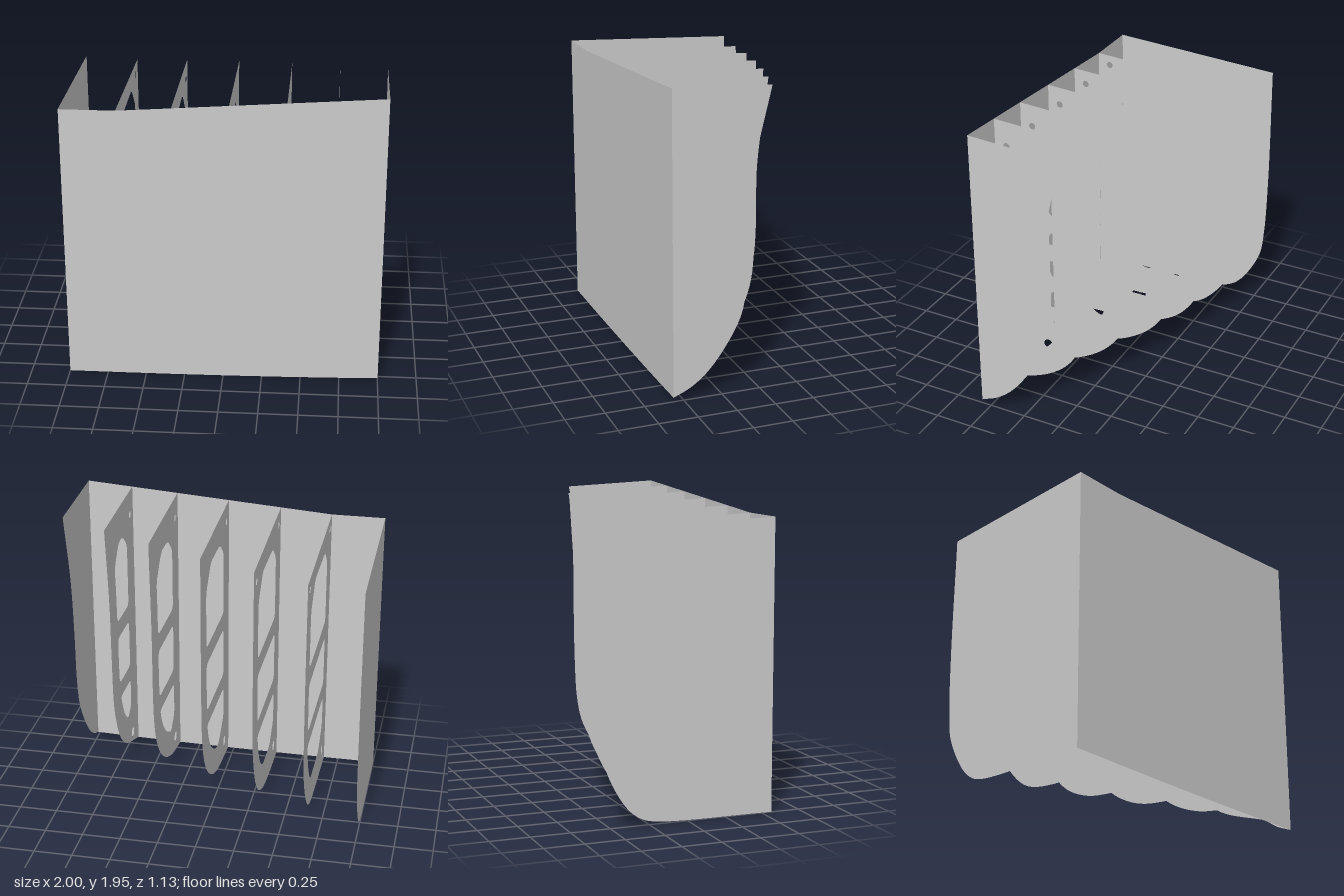
import * as THREE from 'three';

const FRONT = 0.565;   // z of the flat centre panel
const INNER = 0.385;   // inner edge of the large openings
const BORDER = 0.175;  // width of material left around the openings

// Cross sections: x position, z of the top outer corner, and [z, y] bends of the side
const STATIONS = [
  { x: 1, edge: -.06, bends: [[.05, 1.43], [.082, 1.05], [.093, .69], [.134, .48], [.31, .2], [.44, .085]] },
  { x: .7, edge: -.165, bends: [[-.098, 1.36], [-.086, 1], [-.07, .64], [-.03, .48], [.08, .275], [.237, .147]] },
  { x: .39, edge: -.265, bends: [[-.227, 1.2], [-.226, .84], [-.21, .61], [-.165, .44], [-.072, .29], [.072, .162], [.29, .06]] },
  { x: .04, edge: -.365, bends: [[-.356, .84], [-.34, .585], [-.304, .43], [-.216, .276], [-.072, .147], [.134, .054]] },
  { x: -.31, edge: -.446, bends: [[-.446, .9], [-.433, .61], [-.39, .43], [-.32, .276], [-.2, .14], [-.02, .05], [.186, .016]] },
  { x: -.65, edge: -.507, bends: [[-.515, 1.1], [-.505, .69], [-.485, .48], [-.433, .327], [-.34, .183], [-.227, .08], [-.1, .034]] },
  { x: -1, edge: -.56, bends: [[-.565, .95], [-.552, .53], [-.526, .353], [-.407, .13], [-.32, .05], [-.227, .018]] },
];

const material = new THREE.MeshStandardMaterial({ color: 0xcccccc, side: THREE.DoubleSide });

// Heights of the centre panel along its length
const topY = x => 1.83 + 0.0727 * Math.max(0, x + 0.65);
const keelY = x => 0.026 * ((x + 1) / 2) ** 2.5;

// Closed path through the given corners, each rounded by up to r
function roundedPath(points, r) {
  const p = points.map(([x, y]) => new THREE.Vector2(x, y));
  const path = new THREE.Path();
  const toward = (a, b) => a.clone().lerp(b, Math.min(0.5, r / a.distanceTo(b)));
  p.forEach((corner, i) => {
    const start = toward(corner, p[(i + p.length - 1) % p.length]);
    const end = toward(corner, p[(i + 1) % p.length]);
    if (i === 0) path.moveTo(start.x, start.y);
    else path.lineTo(start.x, start.y);
    path.quadraticCurveTo(corner.x, corner.y, end.x, end.y);
  });
  path.closePath();
  return path;
}

function roundHole(z, y, r) {
  const path = new THREE.Path();
  path.absarc(z, y, r, 0, Math.PI * 2, true);
  return path;
}

// Smooth side curve from the sloping top edge down to the keel, as 2D points (z, y)
function sideCurve({ x, edge, bends }) {
  const points = [[edge, topY(x) - 0.049 * (FRONT - edge)], ...bends, [FRONT, keelY(x)]];
  const curve = new THREE.CatmullRomCurve3(points.map(([z, y]) => new THREE.Vector3(z, y, 0)));
  return curve.getSpacedPoints(90).map(v => new THREE.Vector2(v.x, v.y));
}

// Side curve moved inward by the border width
function insetCurve(side) {
  return side.map((p, i) => {
    const a = side[Math.max(0, i - 1)], b = side[Math.min(side.length - 1, i + 1)];
    const t = b.clone().sub(a).normalize();
    return [p.x - t.y * BORDER, p.y + t.x * BORDER];
  });
}

function zAt(curve, y) {
  const i = Math.max(1, curve.findIndex(p => p[1] <= y));
  const [z0, y0] = curve[i - 1], [z1, y1] = curve[i];
  return z0 + (z1 - z0) * (y - y0) / (y1 - y0);
}

// Three large openings separated by two straps, plus small round holes
function frameHoles(side, index) {
  const inset = insetCurve(side);
  const holes = [];

  // upper opening with chamfered top corners
  const topZ = zAt(inset, 1.68), c = Math.min(0.155, (INNER - topZ) * 0.4);
  const upperSide = [1.68 - c, 1.4, 1.14].map(y => [zAt(inset, y), y]);
  holes.push(roundedPath([[INNER, 1.14], [INNER, 1.68 - c * 0.7], [INNER - c * 0.8, 1.68],
    [topZ + c, 1.68], ...upperSide], 0.05));

  // middle opening
  const middleSide = [1.02, 0.85, 0.68].map(y => [zAt(inset, y), y]);
  holes.push(roundedPath([[INNER, 0.68], [INNER, 1.02], ...middleSide], 0.05));

  // lower opening following the bottom curve
  const lowZ = zAt(inset, 0.57), k = Math.min(0.14, (INNER - lowZ) * 0.25);
  const bottom = inset.filter(([z, y], i) => i % 2 === 0 && y < 0.54 && z < INNER - k)
    .map(([z, y]) => [z, Math.max(y, 0.235)]);
  const last = bottom[bottom.length - 1];
  holes.push(roundedPath([[INNER, last[1] + k * 0.9], [INNER, 0.57], [lowZ, 0.57], ...bottom], 0.04));

  // small holes near the centre panel, and at the outer top of the wide frames
  holes.push(roundHole(FRONT - 0.082, 1.758, 0.022));
  holes.push(roundHole(FRONT - 0.152, 0.14, 0.033));
  if (index >= 4) holes.push(roundHole(side[0].x + 0.098, 1.705, 0.022));
  if (index === 5) holes.push(roundHole(FRONT - 0.075, 0.043, 0.01));
  return holes;
}

export function createModel() {
  const model = new THREE.Group();
  model.name = 'hullSectionFrames';

  // Cross frames, solid at both ends
  STATIONS.forEach((station, i) => {
    const side = sideCurve(station);
    const shape = new THREE.Shape([new THREE.Vector2(FRONT, topY(station.x)), ...side]);
    const solid = i === 0 || i === STATIONS.length - 1;
    if (!solid) shape.holes = frameHoles(side, i);
    const geometry = new THREE.ShapeGeometry(shape, 12);
    geometry.rotateY(-Math.PI / 2);
    const frame = new THREE.Mesh(geometry, material);
    frame.position.x = station.x;
    frame.name = solid ? (i === 0 ? 'leftEndPanel' : 'rightEndPanel') : `crossFrame${i}`;
    model.add(frame);
  });

  // Flat centre panel joining all frames
  const topEdge = STATIONS.map(({ x }) => new THREE.Vector2(x, topY(x)));
  const keel = STATIONS.map(({ x }) => new THREE.Vector2(x, keelY(x))).reverse();
  const panel = new THREE.Mesh(new THREE.ShapeGeometry(new THREE.Shape([...topEdge, ...keel])), material);
  panel.position.z = FRONT;
  panel.name = 'centrePanel';
  model.add(panel);

  return model;
}
